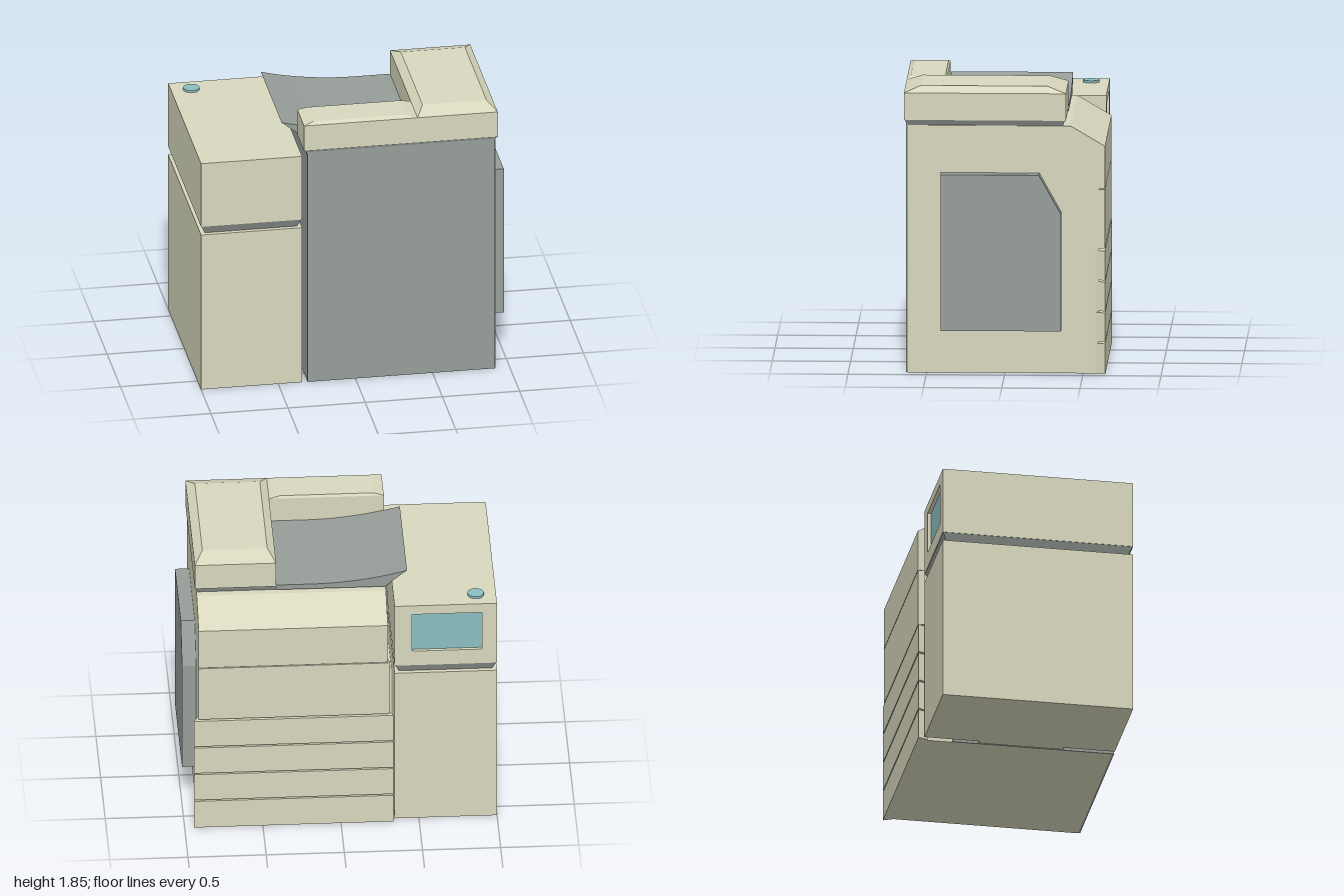
import * as THREE from 'three';

const mat = (name, color, side = THREE.FrontSide) => {
  const m = new THREE.MeshStandardMaterial({ color, side });
  m.name = name;
  return m;
};

export function createModel() {
  const root = new THREE.Group();
  const cream = mat('cream plastic', 0xd8d7bd);
  const grey = mat('grey plastic', 0x969d99);
  const teal = mat('teal glass', 0x8cbec1);

  const add = (name, geo, material, parent = root) => {
    const mesh = new THREE.Mesh(geo, material);
    mesh.name = name;
    parent.add(mesh);
    return mesh;
  };
  const group = (name) => {
    const g = new THREE.Group();
    g.name = name;
    root.add(g);
    return g;
  };

  // box from its limits
  const box = (x0, x1, y0, y1, z0, z1) =>
    new THREE.BoxGeometry(x1 - x0, y1 - y0, z1 - z0)
      .translate((x0 + x1) / 2, (y0 + y1) / 2, (z0 + z1) / 2);

  // block with different rectangles [x0, x1, z0, z1] at bottom and top
  const frustum = (bottom, y0, top, y1) => {
    const g = new THREE.BoxGeometry(1, 1, 1);
    const p = g.attributes.position;
    for (let i = 0; i < p.count; i++) {
      const r = p.getY(i) > 0 ? top : bottom;
      p.setXYZ(i, p.getX(i) > 0 ? r[1] : r[0], p.getY(i) > 0 ? y1 : y0, p.getZ(i) > 0 ? r[3] : r[2]);
    }
    g.computeVertexNormals();
    return g;
  };

  const shape = (pts) => new THREE.Shape(pts.map(([a, b]) => new THREE.Vector2(a, b)));
  const extrude = (s, depth) => new THREE.ExtrudeGeometry(s, { depth, bevelEnabled: false, curveSegments: 12 });
  // side profile of [z, y] points, extruded across x
  const prismX = (pts, x0, x1) => extrude(shape(pts), x1 - x0).rotateY(-Math.PI / 2).translate(x1, 0, 0);
  // plan outline of [x, z] points, extruded upwards
  const prismY = (pts, y0, y1) =>
    extrude(shape(pts.map(([x, z]) => [x, -z])), y1 - y0).rotateX(-Math.PI / 2).translate(0, y0, 0);

  // main cabinet with sloping edge
  const cabinet = group('cabinet');
  add('cabinetBody', prismX([
    [0.62, 0], [0.62, 1.6], [-0.42, 1.6], [-0.64, 1.47], [-0.64, 1.195], [-0.6, 1.195], [-0.6, 0],
  ], -0.3, 0.91), cream, cabinet);
  add('largeGreyPanel', box(-0.31, 0.905, 0, 1.62, 0.62, 0.632), grey, cabinet);
  add('sideGreyPanel', box(-0.31, -0.3, 0, 1.59, -0.42, 0.62), grey, cabinet);
  add('accessDoor', box(-0.31, 0.91, 0.808, 1.189, -0.64, -0.6), cream, cabinet);

  // paper drawers, flared towards their faces
  const drawers = group('drawers');
  for (let i = 0; i < 4; i++) {
    add('drawer', prismY([[-0.335, -0.642], [0.94, -0.642], [0.91, -0.58], [-0.31, -0.58]],
      i * 0.2 + (i ? 0.006 : 0), i * 0.2 + 0.196), cream, drawers);
  }

  // side tray housing with a clipped corner
  add('sideHousing', prismX([
    [0.41, 0.285], [0.41, 1.295], [-0.22, 1.295], [-0.362, 1.04], [-0.362, 0.285],
  ], 0.9, 1), grey);

  // L-shaped scanner head around the output tray
  const head = group('scannerHead');
  add('headSeam', frustum([-0.31, 0.9, -0.37, 0.625], 1.6, [-0.33, 0.92, -0.385, 0.64], 1.638), grey, head);
  const wide = [0.4, 0.92, -0.39, 0.645];
  add('wideArm', frustum(wide, 1.635, wide, 1.81), cream, head);
  add('wideArmLid', frustum(wide, 1.81, [0.45, 0.865, -0.27, 0.54], 1.85), cream, head);
  const narrow = [-0.335, 0.4, 0.39, 0.645];
  add('narrowArm', frustum(narrow, 1.635, narrow, 1.81), cream, head);
  add('narrowArmLid', frustum(narrow, 1.81, [-0.27, 0.33, 0.4, 0.62], 1.826), cream, head);

  // curved output tray
  const tray = new THREE.Shape();
  tray.moveTo(-0.437, 1.725);
  tray.lineTo(-0.33, 1.64);
  tray.lineTo(-0.3, 1.61);
  tray.lineTo(0.4, 1.61);
  tray.lineTo(0.4, 1.645);
  tray.lineTo(0.15, 1.645);
  tray.quadraticCurveTo(-0.15, 1.648, -0.437, 1.725);
  add('outputTray', extrude(tray, 0.78).translate(0, 0, -0.39), grey, head);

  // finisher tower
  const tower = group('tower');
  add('towerBase', box(-1, -0.345, 0, 1.088, -0.605, 0.63), cream, tower);
  add('towerNeck', frustum([-0.97, -0.375, -0.575, 0.6], 1.088, [-0.997, -0.348, -0.602, 0.627], 1.145), grey, tower);
  add('towerHead', box(-1, -0.345, 1.145, 1.59, -0.575, 0.63), cream, tower);
  add('towerLink', box(-0.345, -0.31, 0.004, 0.91, -0.25, 0.3), cream, tower);

  // recessed screen in its frame
  const frame = shape([[-1, 1.145], [-0.345, 1.145], [-0.345, 1.59], [-1, 1.59]]);
  frame.holes.push(new THREE.Path([[-0.905, 1.25], [-0.905, 1.525], [-0.455, 1.525], [-0.455, 1.25]]
    .map(([x, y]) => new THREE.Vector2(x, y))));
  add('screenFrame', extrude(frame, 0.03).translate(0, 0, -0.605), cream, tower);
  add('screen', box(-0.905, -0.455, 1.25, 1.525, -0.582, -0.575), teal, tower);

  // round button
  add('button', new THREE.CylinderGeometry(0.052, 0.052, 0.016, 32).translate(-0.87, 1.597, -0.49), teal, tower);

  return root;
}
